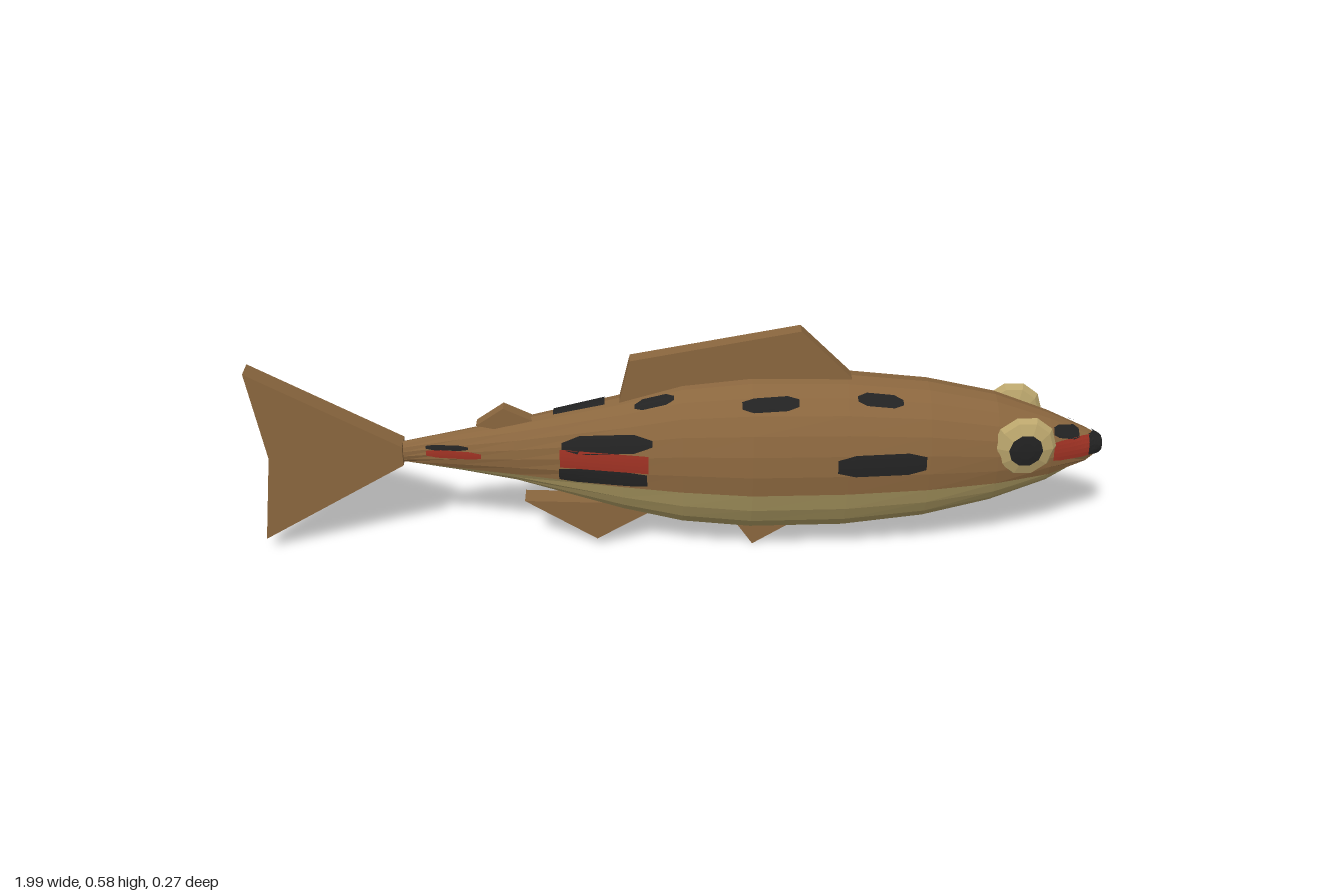
import * as THREE from 'three';

const mat = (name, color) => Object.assign(new THREE.MeshStandardMaterial({ color }), { name });

// Body sections: x, top y, bottom y, half width
const SECTIONS = [
  [-0.66, 0.288, 0.236, 0.015], [-0.52, 0.316, 0.213, 0.033], [-0.39, 0.343, 0.187, 0.053],
  [-0.14, 0.402, 0.107, 0.096], [0, 0.443, 0.072, 0.118], [0.16, 0.46, 0.058, 0.135],
  [0.38, 0.456, 0.06, 0.131], [0.57, 0.436, 0.083, 0.119], [0.73, 0.4, 0.124, 0.1],
  [0.86, 0.349, 0.174, 0.071], [0.955, 0.304, 0.222, 0.037], [0.99, 0.283, 0.252, 0.018],
];

// Interpolated ellipse of the body at x
function section(x) {
  let i = 0;
  while (i < SECTIONS.length - 2 && x > SECTIONS[i + 1][0]) i++;
  const a = SECTIONS[i], b = SECTIONS[i + 1], t = (x - a[0]) / (b[0] - a[0]);
  const [top, bottom, w] = [1, 2, 3].map(k => a[k] + (b[k] - a[k]) * t);
  return { c: (top + bottom) / 2, h: (top - bottom) / 2, w };
}

function angleAt(x, y) {
  const { c, h } = section(x);
  return Math.asin(THREE.MathUtils.clamp((y - c) / h, -1, 1));
}

// Faceted strip of body skin between two angles, which may vary with x
function skin(xs, lo, hi, n, offset = 0) {
  const point = (x, j) => {
    const { c, h, w } = section(x), t = lo(x) + (hi(x) - lo(x)) * j / n;
    return [x, c + (h + offset) * Math.sin(t), (w + offset) * Math.cos(t)];
  };
  const pos = [];
  for (let i = 0; i < xs.length - 1; i++) {
    for (let j = 0; j < n; j++) {
      const a = point(xs[i], j), b = point(xs[i + 1], j);
      const c = point(xs[i + 1], j + 1), d = point(xs[i], j + 1);
      pos.push(...a, ...b, ...c, ...a, ...c, ...d);
    }
  }
  const g = new THREE.BufferGeometry();
  g.setAttribute('position', new THREE.Float32BufferAttribute(pos, 3));
  g.computeVertexNormals();
  return g;
}

function faceted(geometry) {
  const g = geometry.toNonIndexed();
  g.computeVertexNormals();
  return g;
}

export function createModel() {
  const brown = mat('brown', 0x8a663e), cream = mat('cream', 0xa8965f);
  const eyeCream = mat('eye cream', 0xbaa56c);
  const red = mat('red', 0x9a3022), black = mat('black', 0x222222);
  const fish = new THREE.Group();
  fish.name = 'fish';
  const add = (name, geometry, material, parent = fish) => {
    const m = new THREE.Mesh(geometry, material);
    m.name = name;
    parent.add(m);
    return m;
  };

  // Back and belly, split along a nearly level line
  const xs = SECTIONS.map(s => s[0]);
  const split = x => angleAt(x, 0.208 + 0.03 * (x - 0.3) ** 2);
  add('back', skin(xs, split, x => Math.PI - split(x), 14), brown);
  add('belly', skin(xs, x => Math.PI - split(x), x => 2 * Math.PI + split(x), 10), cream);

  // Side markings: name, material, x0, x1, y0, y1, slant, end height
  const marks = [
    ['rearUpperSpot', black, -0.28, -0.07, 0.3, 0.341, 0.022, 0.35],
    ['rearRedBand', red, -0.285, -0.08, 0.259, 0.302, 0, 1],
    ['rearLowerSpot', black, -0.288, -0.083, 0.222, 0.259, 0, 0.8],
    ['flankSpot', black, 0.355, 0.56, 0.26, 0.313, 0, 0.6],
    ['shoulderSpot', black, 0.135, 0.265, 0.408, 0.433, 0.004, 0.5],
    ['napeSpot', black, 0.4, 0.505, 0.41, 0.431, -0.012, 0.4],
    ['upperBackSpot', black, -0.11, -0.02, 0.402, 0.417, 0.025, 0.4],
    ['tailSpot', black, -0.6, -0.5, 0.28, 0.291, 0.004, 0.5],
    ['tailRedBand', red, -0.6, -0.47, 0.262, 0.28, 0, 0.6],
    ['cheekSpot', black, 0.865, 0.93, 0.304, 0.326, -0.018, 0.6],
    ['cheekRedBand', red, 0.865, 0.957, 0.257, 0.302, -0.004, 0.9],
    ['noseSide', black, 0.955, 0.99, 0.255, 0.296, -0.006, 1],
  ];
  for (const side of ['left', 'right']) {
    const group = new THREE.Group();
    group.name = side === 'left' ? 'farMarkings' : 'nearMarkings';
    fish.add(group);
    for (const [name, material, x0, x1, y0, y1, slant, end] of marks) {
      const columns = Array.from({ length: 11 }, (_, i) => x0 + (x1 - x0) * i / 10);
      const edge = sign => x => {
        const u = (x - x0) / (x1 - x0);
        const k = Math.min(1, end + (1 - end) * Math.min(u, 1 - u) * 5);
        return angleAt(x, (y0 + y1) / 2 + slant * (u - 0.5) + sign * k * (y1 - y0) / 2);
      };
      const lo = edge(-1), hi = edge(1);
      add(name, side === 'right' ? skin(columns, lo, hi, 5, 0.004)
        : skin(columns, x => Math.PI - hi(x), x => Math.PI - lo(x), 5, 0.004), material, group);
    }
  }

  // Mark along the spine behind the dorsal fin
  add('spineSpot', skin([-0.3, -0.26, -0.22, -0.18], () => Math.PI / 2 - 0.2,
    () => Math.PI / 2 + 0.2, 4, 0.004), black);

  // Nose tip
  const tip = new THREE.CircleGeometry(1, 14);
  tip.scale(0.022, 0.0195, 1).rotateY(Math.PI / 2).translate(0.99, 0.2675, 0);
  add('noseTip', tip, black);

  // Eyes: flattened balls with a dark cap, one on each side
  for (const s of [1, -1]) {
    const eye = new THREE.Group();
    eye.name = s > 0 ? 'nearEye' : 'farEye';
    const ball = new THREE.SphereGeometry(1, 10, 5, 0, Math.PI * 2, 0.56, Math.PI - 0.56);
    const pupil = new THREE.SphereGeometry(1, 10, 2, 0, Math.PI * 2, 0, 0.56);
    for (const g of [ball, pupil]) g.rotateX(Math.PI / 2).scale(0.074, 0.078, 0.026);
    add('eyeball', faceted(ball), eyeCream, eye);
    add('pupil', faceted(pupil), black, eye);
    eye.position.set(0.79, 0.308, 0.083 * s);
    if (s < 0) eye.rotation.y = Math.PI;
    fish.add(eye);
  }

  // Fins: flat slabs with square edges
  const fins = {
    dorsalFin: [0.034, [-0.15, 0.38], [0.39, 0.44], [0.39, 0.456], [0.27, 0.577], [-0.12, 0.505]],
    adiposeFin: [0.03, [-0.48, 0.338], [-0.4, 0.32], [-0.33, 0.34], [-0.415, 0.383]],
    tailFin: [0.05, [-1, 0.035], [-0.655, 0.238], [-0.655, 0.288], [-1, 0.485], [-0.968, 0.26]],
    analFin: [0.05, [-0.375, 0.135], [-0.205, 0.025], [-0.06, 0.11], [-0.1, 0.14], [-0.2, 0.128]],
    pelvicFin: [0.034, [0.12, 0.075], [0.17, 0], [0.28, 0.07]],
  };
  for (const [name, [depth, ...points]] of Object.entries(fins)) {
    const shape = new THREE.Shape(points.map(p => new THREE.Vector2(...p)));
    const g = new THREE.ExtrudeGeometry(shape, { depth, bevelEnabled: false });
    add(name, g.translate(0, 0, -depth / 2), brown);
  }
  return fish;
}
